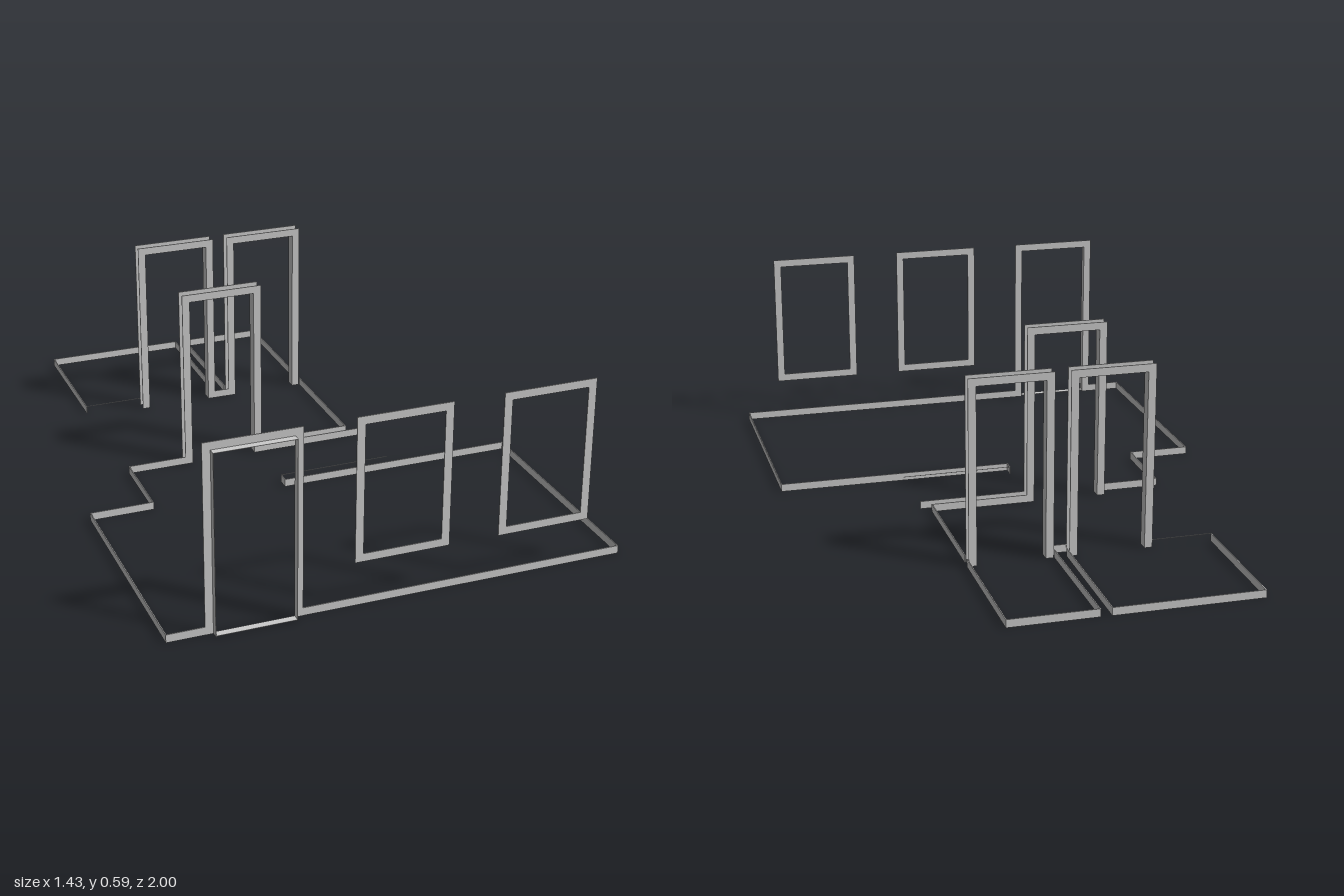
import * as THREE from 'three';

const GREY = new THREE.MeshStandardMaterial({ color: 0xcccccc, flatShading: true });
const TILT = 0.025;      // the whole plan is turned slightly about y
const THICK = 0.003;     // boards and casings
const BASE = 0.025;      // baseboard height
const TRIM = 0.025;      // casing width
const TOP = 0.588;       // upper edge of every casing

function box(name, w, h, d, x, y, z) {
  const mesh = new THREE.Mesh(new THREE.BoxGeometry(w, h, d), GREY);
  mesh.name = name;
  mesh.position.set(x, y, z);
  return mesh;
}

// Boards standing along a run of plan points [x, z]
function baseboard(name, points, bottom = 0) {
  const run = new THREE.Group();
  run.name = name;
  for (let i = 1; i < points.length; i++) {
    const [x0, z0] = points[i - 1], [x1, z1] = points[i];
    const length = Math.hypot(x1 - x0, z1 - z0);
    const board = box('board', length + THICK, BASE - bottom, THICK, (x0 + x1) / 2, (BASE + bottom) / 2, (z0 + z1) / 2);
    board.rotation.y = -Math.atan2(z1 - z0, x1 - x0);
    run.add(board);
  }
  return run;
}

// Flat casing: closed for a window, open at the floor for a door
function casing(name, width, bottom, closed, z) {
  const w = width / 2, i = w - TRIM, t = TOP - TRIM;
  const corners = closed
    ? [[-w, bottom], [w, bottom], [w, TOP], [-w, TOP]]
    : [[-w, bottom], [-i, bottom], [-i, t], [i, t], [i, bottom], [w, bottom], [w, TOP], [-w, TOP]];
  const shape = new THREE.Shape(corners.map(([x, y]) => new THREE.Vector2(x, y)));
  if (closed) {
    const b = bottom + TRIM;
    shape.holes.push(new THREE.Path([[-i, b], [-i, t], [i, t], [i, b]].map(([x, y]) => new THREE.Vector2(x, y))));
  }
  const geometry = new THREE.ExtrudeGeometry(shape, { depth: THICK, bevelEnabled: false });
  geometry.translate(0, 0, z - THICK / 2);
  const mesh = new THREE.Mesh(geometry, GREY);
  mesh.name = name;
  return mesh;
}

// Thin boards lining an opening between two depths
function lining(width, z0, z1, threshold) {
  const group = new THREE.Group();
  group.name = 'doorLining';
  const t = 0.001, inner = width / 2 - TRIM, h = TOP - TRIM, d = z1 - z0, z = (z0 + z1) / 2;
  for (const side of [-1, 1]) group.add(box('jambLining', t, h, d, side * (inner + t / 2), h / 2, z));
  group.add(box('headLining', 2 * (inner + t), t, d, 0, h + t / 2, z));
  if (threshold) group.add(box('threshold', 2 * inner, t, d, 0, 0.004, z));
  return group;
}

function place(group, name, x, z) {
  group.name = name;
  group.position.set(x, 0, z);
  group.rotation.y = TILT;
  return group;
}

export function createModel() {
  const model = new THREE.Group();
  model.name = 'roomTrim';

  // Baseboards, broken at the doorways
  const runs = {
    frontWallRightBaseboard: [[-0.583, 0.976], [-0.694, 0.979], [-0.714, 0.223], [-0.513, 0.217], [-0.518, -0.046], [-0.327, -0.051]],
    livingRoomBaseboard: [[-0.291, 0.969], [0.712, 0.945], [0.693, 0.191], [-0.075, 0.208], [-0.075, 0.174]],
    livingRoomBackBaseboard: [[-0.066, -0.058], [0.28, -0.067]],
    hallBaseboard: [[-0.066, -0.092], [0.249, -0.1], [0.238, -0.524]],
    hallPierBaseboard: [[-0.078, -0.517], [-0.031, -0.518]],
    rightBedroomBaseboard: [[-0.535, -0.54], [-0.546, -0.978], [-0.083, -0.99], [-0.072, -0.551]],
    leftBedroomBaseboard: [[-0.033, -0.553], [-0.047, -0.99], [0.227, -0.997], [0.238, -0.559]],
  };
  for (const [name, points] of Object.entries(runs)) model.add(baseboard(name, points));

  // Narrow strips level with the top of the baseboards
  model.add(baseboard('alcoveStrip', [[-0.075, 0.174], [0.29, 0.163]], BASE - 0.001));
  model.add(baseboard('bedroomStrip', [[-0.535, -0.54], [-0.345, -0.545]], BASE - 0.001));

  // Inner doors, cased on both faces of the wall
  const doors = [
    ['hallDoor', -0.196, -0.0545, -0.0887],
    ['rightBedroomDoor', -0.211, -0.514, -0.5475],
    ['leftBedroomDoor', 0.1025, -0.521, -0.5555],
  ];
  for (const [name, x, front, back] of doors) {
    const half = (front - back) / 2, width = 0.264;
    const door = new THREE.Group();
    door.add(casing('frontCasing', width, 0, false, half), casing('backCasing', width, 0, false, -half));
    door.add(lining(width, -half, half, false));
    model.add(place(door, name, x, (front + back) / 2));
  }

  // Entrance door, cased inside with its lining running outward
  const entrance = new THREE.Group();
  entrance.add(casing('insideCasing', 0.29, 0, false, 0), lining(0.29, 0, 0.024, true));
  model.add(place(entrance, 'entranceDoor', -0.437, 0.973));

  // Window casings on the front wall
  for (const [name, x, z] of [['rightWindow', 0.0095, 0.962], ['leftWindow', 0.456, 0.951]]) {
    const windowFrame = new THREE.Group();
    windowFrame.add(casing('windowCasing', 0.291, 0.137, true, 0));
    model.add(place(windowFrame, name, x, z));
  }
  return model;
}
